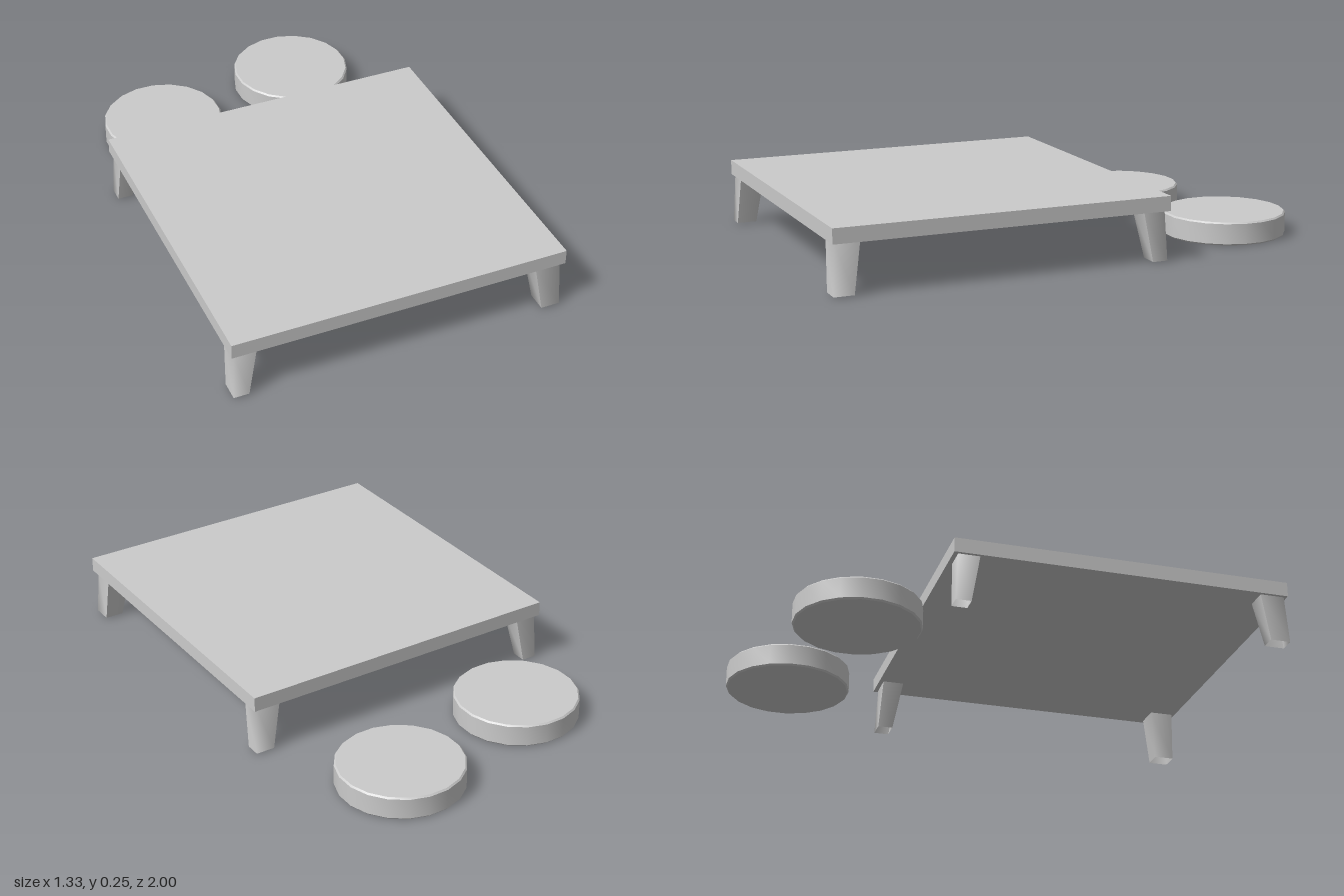
import * as THREE from 'three';
import { toCreasedNormals } from 'three/addons/utils/BufferGeometryUtils.js';

const grey = new THREE.MeshStandardMaterial({ color: 0xcccccc });
const greyOpen = new THREE.MeshStandardMaterial({ color: 0xcccccc, side: THREE.DoubleSide });

function add(parent, name, geometry, material = grey) {
  const mesh = new THREE.Mesh(geometry, material);
  mesh.name = name;
  parent.add(mesh);
  return mesh;
}

// Splayed four-sided leg: the sides blend round two opposite corners
// (toward and away from the table centre) and stay sharp at the other two.
function legGeometry(xr, zr, blendFirst) {
  const ring = (x, z, y) => [
    [x[0], y, z[0]], [x[1], y, z[0]], [x[1], y, z[1]], [x[0], y, z[1]],
  ];
  const foot = ring(xr.foot, zr.foot, 0.005);
  const head = ring(xr.head, zr.head, 0.197);
  const positions = [];
  const index = [];
  const start = blendFirst ? 1 : 0;
  for (const first of [start, start + 2]) {
    const base = positions.length / 3;
    for (let k = 0; k < 3; k++) {
      const c = (first + k) % 4;
      positions.push(...foot[c], ...head[c]);
    }
    for (let k = 0; k < 2; k++) {
      const b = base + k * 2;
      index.push(b, b + 1, b + 3, b, b + 3, b + 2);
    }
  }
  const geometry = new THREE.BufferGeometry();
  geometry.setAttribute('position', new THREE.Float32BufferAttribute(positions, 3));
  geometry.setIndex(index);
  geometry.computeVertexNormals();
  return geometry;
}

// Round floor cushion with a small bevel on both rims
function cushionGeometry(radius, height, bevel, sides) {
  const profile = [
    [0, 0], [radius - bevel, 0], [radius, bevel],
    [radius, height - bevel], [radius - bevel, height], [0, height],
  ].map(([r, y]) => new THREE.Vector2(r, y));
  const geometry = new THREE.LatheGeometry(profile, sides);
  geometry.rotateY(Math.PI / sides);
  return toCreasedNormals(geometry, 0.6);
}

export function createModel() {
  const model = new THREE.Group();
  model.name = 'lowTableWithCushions';

  const table = new THREE.Group();
  table.name = 'table';
  model.add(table);

  // Table top
  add(table, 'tableTop', new THREE.BoxGeometry(1.325, 0.058, 1.325)).position.set(0, 0.226, 0.335);

  // Legs: foot and head spans along x and z for each side
  const xSpans = {
    right: { foot: [-0.658, -0.598], head: [-0.65, -0.563] },
    left: { foot: [0.58, 0.655], head: [0.545, 0.645] },
  };
  const zSpans = {
    back: { foot: [-0.32, -0.26], head: [-0.31, -0.225] },
    front: { foot: [0.917, 0.995], head: [0.89, 0.985] },
  };
  for (const [zName, zr] of Object.entries(zSpans)) {
    for (const [xName, xr] of Object.entries(xSpans)) {
      const blendFirst = (xName === 'left') === (zName === 'front');
      const name = `${zName}${xName === 'left' ? 'Left' : 'Right'}Leg`;
      add(table, name, legGeometry(xr, zr, blendFirst), greyOpen);
    }
  }

  // Two cushions on the floor behind the table
  const cushion = cushionGeometry(0.245, 0.092, 0.006, 20);
  add(model, 'rightCushion', cushion).position.set(-0.335, 0, -0.612);
  add(model, 'leftCushion', cushion).position.set(0.305, 0, -0.757);

  return model;
}
